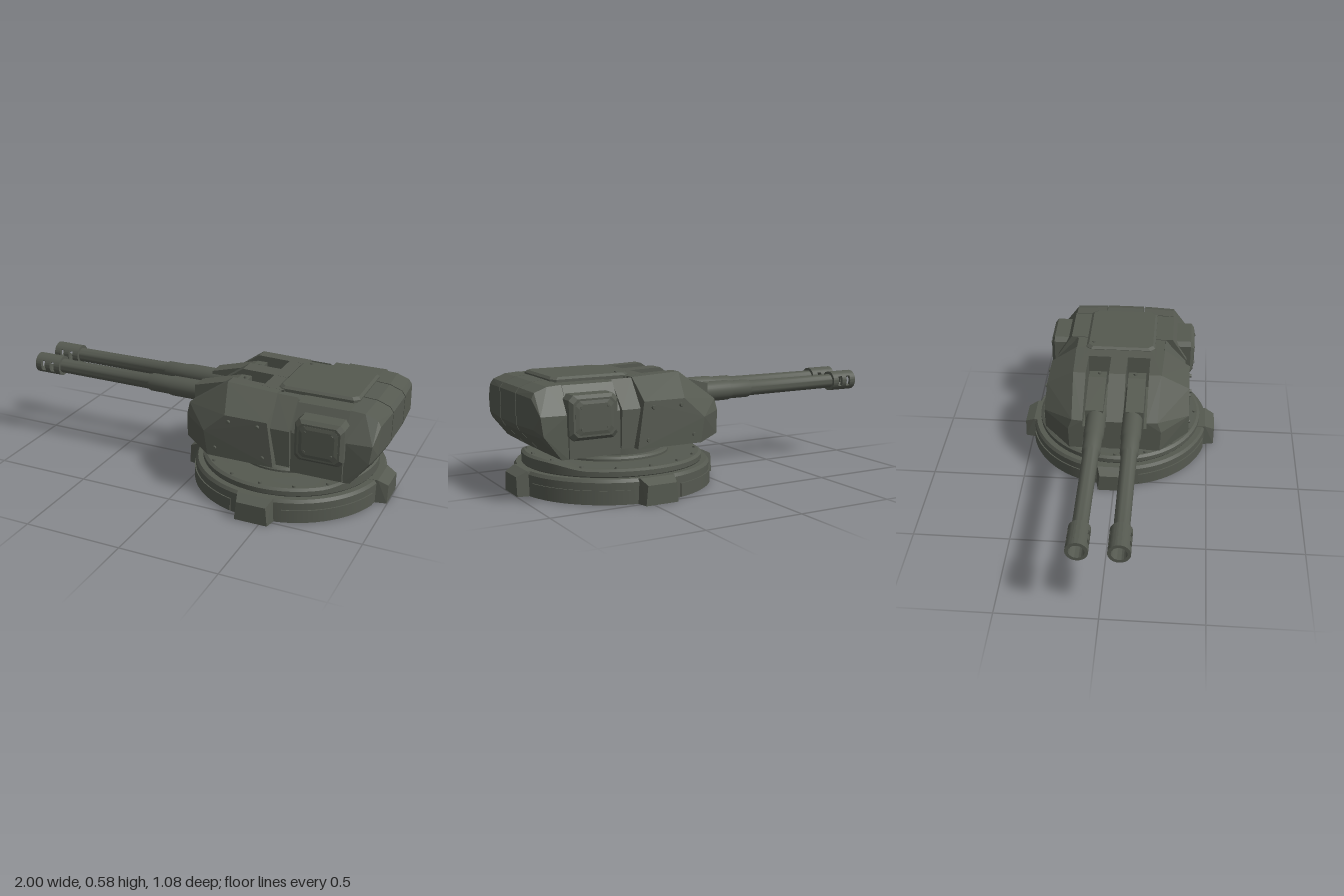
import * as THREE from 'three';
import { toCreasedNormals } from 'three/addons/utils/BufferGeometryUtils.js';
import { ConvexGeometry } from 'three/addons/geometries/ConvexGeometry.js';

const CX = 0.457; // turning axis of the turret
const BARREL_Y = 0.432, BARREL_Z = 0.095;

export function createModel() {
  const paint = new THREE.MeshStandardMaterial({ color: 0x555950 });
  paint.name = 'olive grey paint';
  const model = new THREE.Group();
  model.name = 'twinGunTurret';

  const add = (name, geometry, parent = model) => {
    const mesh = new THREE.Mesh(geometry, paint);
    mesh.name = name;
    parent.add(mesh);
    return mesh;
  };
  const hull = (name, pts, parent) =>
    add(name, new ConvexGeometry(pts.map(p => new THREE.Vector3(...p))), parent);
  // flat [x, y] profile stretched between two z values
  const slab = (name, profile, z0, z1, parent) =>
    hull(name, profile.flatMap(([x, y]) => [[x, y, z0], [x, y, z1]]), parent);
  const lathe = (pts, seg) =>
    new THREE.LatheGeometry(pts.map(p => new THREE.Vector2(...p)), seg);
  const bolt = (x, y, z, axis = 'y', r = 0.011) => {
    const g = new THREE.CylinderGeometry(r * 0.8, r, 0.012, 8);
    if (axis === 'z') g.rotateX(Math.sign(z) * Math.PI / 2);
    g.translate(x, y, z);
    return add('bolt', g);
  };

  // --- Base ---
  const base = new THREE.Group();
  base.name = 'base';
  base.position.x = CX;
  model.add(base);
  add('baseDisc', toCreasedNormals(lathe(
    [[0, 0], [0.493, 0], [0.493, 0.105], [0.482, 0.12], [0, 0.12]], 72), 0.4), base);

  // upper plate, its rear rim swept upward
  const plate = lathe([[0, 0.11], [0.445, 0.11], [0.455, 0.125], [0.455, 0.148], [0.44, 0.158],
    [0.41, 0.158], [0.37, 0.159], [0.33, 0.16], [0.285, 0.16], [0, 0.16]], 72);
  const pos = plate.attributes.position;
  for (let i = 0; i < pos.count; i++) {
    if (pos.getY(i) < 0.14) continue;
    const lift = THREE.MathUtils.smoothstep(pos.getX(i), 0.29, 0.44);
    pos.setY(i, pos.getY(i) + 0.026 * lift);
  }
  add('upperPlate', toCreasedNormals(plate, 0.4), base);
  add('neck', toCreasedNormals(lathe([[0, 0.15], [0.285, 0.15], [0.285, 0.17], [0.275, 0.18],
    [0.255, 0.183], [0.255, 0.215], [0.24, 0.22], [0.24, 0.25], [0, 0.25]], 64), 0.4), base);

  for (let i = 0; i < 4; i++) {
    const quarter = new THREE.Group();
    quarter.name = 'baseQuarter';
    quarter.rotation.y = i * Math.PI / 2;
    base.add(quarter);
    // lug with a chamfered outer top edge
    hull('lug', [-1, 1].flatMap(s => [
      [0.44, 0, s * 0.105], [0.44, 0.121, s * 0.095], [0.49, 0.121, s * 0.09],
      [0.541, 0.095, s * 0.075], [0.541, 0, s * 0.085]]), quarter);
    // raised curved panel between lugs
    const a0 = 0.27, a1 = Math.PI / 2 - 0.27, panel = new THREE.Shape();
    panel.absarc(0, 0, 0.499, a0, a1, false);
    panel.absarc(0, 0, 0.48, a1, a0, true);
    const g = new THREE.ExtrudeGeometry(panel, { depth: 0.065, bevelEnabled: false, curveSegments: 20 });
    g.rotateX(-Math.PI / 2).translate(0, 0.004, 0);
    add('basePanel', g, quarter);
  }
  for (let i = 0; i < 16; i++) {
    const a = i * Math.PI / 8, x = 0.425 * Math.cos(a), z = 0.425 * Math.sin(a);
    const lift = 0.026 * THREE.MathUtils.smoothstep(x, 0.29, 0.44);
    bolt(CX + x, 0.161 + lift, z);
  }

  // --- Hull core and centre parts ---
  const section = (x, w, bottom, top, topW) => [-1, 1].flatMap(s => [
    [x, bottom, s * w], [x, 0.425, s * w], [x, top, s * topW]]);
  hull('hullCore', [...section(0.37, 0.34, 0.238, 0.553, 0.24), ...section(0.62, 0.34, 0.238, 0.548, 0.25)]);
  slab('gunFloor', [[-0.015, 0.24], [-0.015, 0.375], [0.38, 0.375], [0.38, 0.24]], -0.17, 0.17);
  const noseProfile = [[-0.02, 0.24], [-0.02, 0.415], [0.2, 0.57], [0.47, 0.562], [0.5, 0.24]];
  slab('noseSpine', noseProfile, -0.045, 0.045);
  slab('frontRoof', [[0.37, 0.3], [0.37, 0.565], [0.48, 0.561], [0.48, 0.3]], -0.2, 0.2);
  hull('rearHull', [...section(0.585, 0.365, 0.22, 0.552, 0.285), ...section(0.842, 0.365, 0.22, 0.552, 0.285)]);

  // roof hatch with cut corners
  const ring = (y, x0, x1, w, c) => [-1, 1].flatMap(s => [
    [x0 + c, y, s * w], [x1 - c, y, s * w], [x0, y, s * (w - c)], [x1, y, s * (w - c)]]);
  hull('roofHatch', [...ring(0.54, 0.443, 0.852, 0.19, 0.025), ...ring(0.565, 0.443, 0.852, 0.19, 0.025),
    ...ring(0.576, 0.455, 0.84, 0.177, 0.025)]);
  bolt(0.5, 0.576, -0.15); 

  // rear armour: centre block
  const rearProfile = [[0.847, 0.22], [0.847, 0.558], [0.92, 0.553], [0.982, 0.53], [1, 0.505],
    [1, 0.355], [0.985, 0.325], [0.885, 0.22]];
  slab('rearArmourCentre', rearProfile, -0.104, 0.104);

  for (const s of [-1, 1]) {
    // rear armour: side block tapering outward
    hull('rearArmourSide', [
      ...rearProfile.map(([x, y]) => [x, y, s * 0.111]),
      ...rearProfile.slice(1, 4).map(([x, y]) => [x - 0.008, y - 0.004, s * 0.28]),
      [0.99, 0.5, s * 0.285], [0.99, 0.36, s * 0.3], [0.972, 0.325, s * 0.315],
      [0.847, 0.22, s * 0.366], [0.88, 0.22, s * 0.362], [0.847, 0.425, s * 0.366],
      [0.975, 0.425, s * 0.355], [0.965, 0.335, s * 0.36]]);

    // faceted front cheek
    hull('frontCheek', [
      ...noseProfile.map(([x, y]) => [x, y, s * 0.168]),
      [-0.02, 0.24, s * 0.24], [-0.02, 0.36, s * 0.245], [-0.015, 0.417, s * 0.225],
      [0.16, 0.235, s * 0.39], [0.14, 0.36, s * 0.39], [0.25, 0.46, s * 0.385],
      [0.468, 0.46, s * 0.385], [0.505, 0.235, s * 0.39],
      [0.2, 0.57, s * 0.235], [0.462, 0.56, s * 0.245]]);
    bolt(0.42, 0.43, s * 0.391, 'z');
    bolt(0.45, 0.275, s * 0.391, 'z');
    bolt(0.2, 0.28, s * 0.391, 'z');
    bolt(0.27, 0.43, s * 0.391, 'z');

    // strap between cheek and rear hull
    hull('sideStrap', [
      [0.475, 0.425, s * 0.362], [0.572, 0.425, s * 0.362],
      [0.512, 0.24, s * 0.362], [0.578, 0.24, s * 0.362],
      [0.465, 0.558, s * 0.243], [0.572, 0.556, s * 0.243],
      [0.475, 0.3, s * 0.2], [0.572, 0.3, s * 0.2]]);

    // side equipment box with a raised cover
    const box = (name, x0, x1, y0, y1, zIn, zMid, zOut, c) => {
      const loop = (z, i) => [
        [x0 + i + c, y0 + i, z], [x1 - i - c, y0 + i, z], [x0 + i + c, y1 - i, z], [x1 - i - c, y1 - i, z],
        [x0 + i, y0 + i + c, z], [x0 + i, y1 - i - c, z], [x1 - i, y0 + i + c, z], [x1 - i, y1 - i - c, z]];
      hull(name, [zIn, zMid].flatMap(z => loop(s * z, 0)).concat(loop(s * zOut, 0.016)));
    };
    box('sideBox', 0.61, 0.852, 0.308, 0.517, 0.29, 0.388, 0.404, 0.022);
    box('sideBoxCover', 0.636, 0.826, 0.333, 0.492, 0.39, 0.405, 0.409, 0.02);
    for (const x of [0.665, 0.797]) for (const y of [0.363, 0.462]) bolt(x, y, s * 0.407, 'z', 0.008);

    // --- Gun ---
    const gun = new THREE.Group();
    gun.name = 'gun';
    model.add(gun);
    slab('gunShroud', [[-0.02, 0.365], [-0.02, 0.484], [0.09, 0.484], [0.2, 0.545], [0.255, 0.545], [0.255, 0.365]],
      s * 0.058, s * 0.152, gun);
    bolt(0.235, 0.548, s * 0.095);
    const place = g => g.translate(0, BARREL_Y, s * BARREL_Z);
    const barrel = lathe([[0, -0.25], [0.052, -0.25], [0.052, 0.17], [0.047, 0.19], [0.047, 0.295],
      [0.04, 0.31], [0.038, 0.86], [0, 0.86]], 28);
    add('barrel', place(toCreasedNormals(barrel, 0.5).rotateZ(Math.PI / 2)), gun);

    // hollow muzzle brake, open on both sides at two slots
    const arc = (name, t0, t1, a0, a1) => {
      const shape = new THREE.Shape();
      shape.absarc(0, 0, 0.053, a0, a1, false);
      if (a1 - a0 > 6) {
        const hole = new THREE.Path();
        hole.absarc(0, 0, 0.037, 0, Math.PI * 2, true);
        shape.holes.push(hole);
      } else shape.absarc(0, 0, 0.037, a1, a0, true);
      const g = new THREE.ExtrudeGeometry(shape, { depth: t1 - t0, bevelEnabled: false, curveSegments: 28 });
      g.translate(0, 0, t0).rotateY(-Math.PI / 2);
      add(name, place(toCreasedNormals(g, 0.5)), gun);
    };
    for (const [t0, t1] of [[0.85, 0.885], [0.91, 0.94], [0.965, 1]]) arc('muzzleRing', t0, t1, 0, Math.PI * 2);
    for (const [t0, t1] of [[0.885, 0.91], [0.94, 0.965]])
      for (const a of [0, Math.PI]) arc('muzzleBridge', t0, t1, a + 0.55, a + Math.PI - 0.55);
  }
  return model;
}
